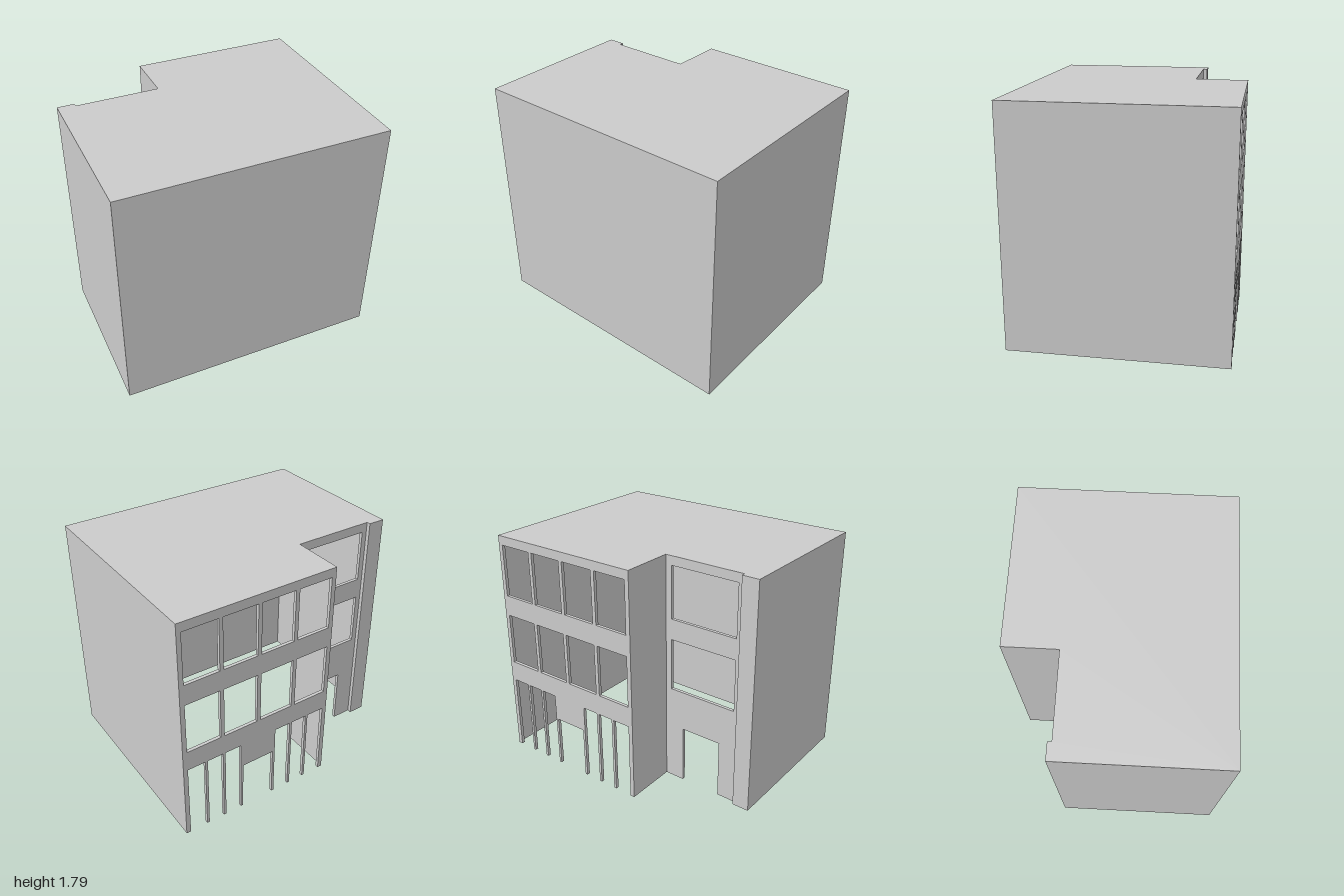
import * as THREE from 'three';

const H = 1.79, THICK = 0.025;
const material = new THREE.MeshStandardMaterial({ color: 0xcccccc, side: THREE.DoubleSide, flatShading: true });

function addMesh(group, name, geometry) {
  const mesh = new THREE.Mesh(geometry, material);
  mesh.name = name;
  group.add(mesh);
  return mesh;
}

// Thin upright slab: doors [x0, x1, top] cut up from the ground, windows [x0, x1, y0, y1] as holes
function facade(group, name, x0, x1, z, doors, windows) {
  const shape = new THREE.Shape();
  shape.moveTo(x0, 0);
  for (const [a, b, top] of doors) {
    shape.lineTo(a, 0);
    shape.lineTo(a, top);
    shape.lineTo(b, top);
    shape.lineTo(b, 0);
  }
  shape.lineTo(x1, 0);
  shape.lineTo(x1, H);
  shape.lineTo(x0, H);
  shape.closePath();
  for (const [a, b, y0, y1] of windows) {
    const hole = new THREE.Path();
    hole.moveTo(a, y0);
    hole.lineTo(a, y1);
    hole.lineTo(b, y1);
    hole.lineTo(b, y0);
    hole.closePath();
    shape.holes.push(hole);
  }
  const geometry = new THREE.ExtrudeGeometry(shape, { depth: THICK, bevelEnabled: false });
  addMesh(group, name, geometry).position.z = z;
}

// Single-sheet wall between two plan points; seen from outside, a is on the left
function wall(group, name, [ax, az], [bx, bz]) {
  const geometry = new THREE.PlaneGeometry(Math.hypot(bx - ax, bz - az), H);
  const mesh = addMesh(group, name, geometry);
  mesh.position.set((ax + bx) / 2, H / 2, (az + bz) / 2);
  mesh.rotation.y = Math.atan2(az - bz, bx - ax);
}

export function createModel() {
  const group = new THREE.Group();
  group.name = 'building';
  const rows = [[1.32, 1.72], [0.76, 1.16]];

  // Plain walls, hollow inside and open below
  wall(group, 'frontWall', [-1, 0.8], [1, 0.8]);
  wall(group, 'leftWall', [1, 0.8], [1, -0.8]);
  wall(group, 'recessSideWall', [-0.24, -0.8], [-0.24, -0.4]);
  wall(group, 'pierSide', [-0.87, -0.4], [-0.87, -0.43]);
  wall(group, 'pierBack', [-0.87, -0.43], [-1, -0.43]);
  wall(group, 'rightWall', [-1, -0.43], [-1, 0.8]);

  // Flat roof following the stepped plan
  const plan = [[-1, 0.8], [1, 0.8], [1, -0.8], [-0.24, -0.8], [-0.24, -0.4], [-0.87, -0.4], [-0.87, -0.43], [-1, -0.43]];
  const roof = new THREE.ShapeGeometry(new THREE.Shape(plan.map(([x, z]) => new THREE.Vector2(x, -z))));
  roof.rotateX(-Math.PI / 2);
  addMesh(group, 'roof', roof).position.y = H;

  // Main rear facade: two rows of four windows over a row of slim columns
  const windows = [];
  for (const [y0, y1] of rows) {
    for (let i = 0; i < 4; i++) {
      const x = -0.205 + i * 0.3;
      windows.push([x, x + 0.27, y0, y1]);
    }
  }
  const columns = [-0.435, -0.29, -0.14, 0.14, 0.29, 0.435].map((d) => 0.38 + d);
  const bays = [];
  for (let i = 0; i <= columns.length; i++) {
    const a = i === 0 ? -0.205 : columns[i - 1] + 0.01;
    const b = i === columns.length ? 0.965 : columns[i] - 0.01;
    bays.push([a, b, i === 3 ? 0.4 : 0.6]);
  }
  facade(group, 'mainFacade', -0.24, 1, -0.8, bays, windows);

  // Recessed rear facade: one wide window per floor above a doorway
  facade(group, 'recessedFacade', -0.87, -0.24, -0.4, [[-0.715, -0.395, 0.45]],
    rows.map(([y0, y1]) => [-0.83, -0.287, y0, y1]));

  return group;
}
